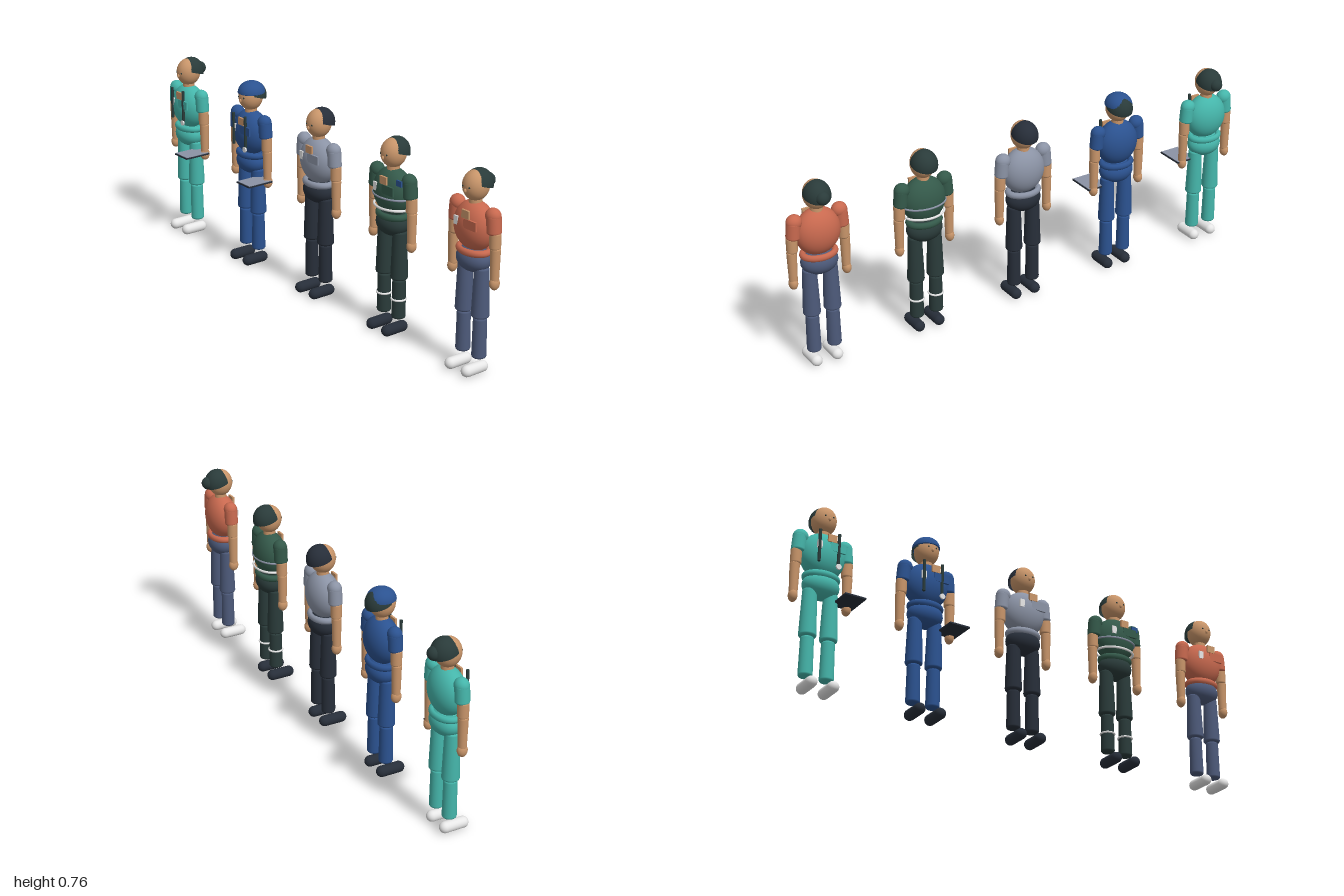
import * as THREE from 'three';

const mat = (name, color) => {
  const m = new THREE.MeshStandardMaterial({ color, side: THREE.DoubleSide });
  m.name = name;
  return m;
};

export function createModel() {
  const teal = mat('teal', 0x45b5aa), blue = mat('blue', 0x2b5290), grey = mat('grey', 0x8b93a5);
  const green = mat('green', 0x34594a), coral = mat('coral', 0xc8694f), navy = mat('dark navy', 0x272e39);
  const denim = mat('denim', 0x4d5a7a), white = mat('white', 0xe6e6e6);
  const skin = mat('skin', 0xc8956a), dark = mat('dark hair', 0x2a3b3a);

  const add = (parent, name, geo, material, x = 0, y = 0, z = 0) => {
    const m = new THREE.Mesh(geo, material);
    m.name = name;
    m.position.set(x, y, z);
    parent.add(m);
    return m;
  };
  const ball = (rx, ry, rz) => new THREE.SphereGeometry(1, 32, 20).scale(rx, ry, rz);
  // elliptical ring lying flat
  const ring = (rx, rz, tube) =>
    new THREE.TorusGeometry(rx, tube, 10, 40).rotateX(Math.PI / 2).scale(1, 1, rz / rx);
  // tapered limb with rounded rims, standing from 0 to h
  const limb = (r0, r1, h, b) => {
    const pts = [new THREE.Vector2(0, 0)];
    for (let i = 0; i <= 5; i++) {
      const a = (i / 5) * Math.PI / 2;
      pts.push(new THREE.Vector2(r0 - b + b * Math.sin(a), b - b * Math.cos(a)));
    }
    for (let i = 0; i <= 5; i++) {
      const a = (i / 5) * Math.PI / 2;
      pts.push(new THREE.Vector2(r1 - b + b * Math.cos(a), h - b + b * Math.sin(a)));
    }
    pts.push(new THREE.Vector2(0, h));
    return new THREE.LatheGeometry(pts, 24);
  };

  // figures share one body; z = 0 of the body is shifted at the end
  function person(name, x, { top, legs, shoes, hair, bun, cap, medical, bands }) {
    const g = new THREE.Group();
    g.name = name;
    g.position.set(x, 0, -0.013);

    // torso, hem, hips and neck
    add(g, 'torso', ball(0.088, 0.092, 0.061), top, 0, 0.55, 0);
    add(g, 'hem', ring(0.061, 0.046, 0.013), top, 0, 0.461, 0);
    add(g, 'hips', ball(0.072, 0.05, 0.054), legs, 0, 0.428, 0);
    add(g, 'neck', new THREE.CylinderGeometry(0.023, 0.025, 0.05, 24), skin, 0, 0.635, 0);

    // head and face
    add(g, 'head', ball(0.047, 0.056, 0.05), skin, 0, 0.697, 0);
    add(g, 'nose', ball(0.005, 0.008, 0.006), skin, 0, 0.686, 0.05);
    for (const s of [-1, 1]) add(g, 'eye', ball(0.0035, 0.0035, 0.003), dark, s * 0.016, 0.699, 0.046);

    // hair, bun and cap
    const dome = new THREE.SphereGeometry(1, 32, 14, 0, Math.PI * 2, 0, Math.PI / 2);
    add(g, 'hair', dome.clone().scale(0.051, 0.059, 0.055), hair, 0, 0.697, -0.011).rotation.x = -0.3;
    if (bun) add(g, 'hairBun', ball(0.026, 0.026, 0.026), hair, 0, 0.704, -0.056);
    if (cap) {
      add(g, 'cap', dome.clone().scale(0.053, 0.046, 0.056), top, 0, 0.713, -0.004);
      add(g, 'capBrim', ring(0.049, 0.051, 0.004), top, 0, 0.715, -0.003);
    }

    for (const s of [-1, 1]) {
      // arm
      add(g, 'shoulder', ball(0.03, 0.029, 0.027), top, s * 0.09, 0.609, 0);
      add(g, 'sleeve', limb(0.027, 0.027, 0.07, 0.009), top, s * 0.098, 0.544, 0).rotation.z = s * 0.08;
      add(g, 'upperArm', limb(0.021, 0.021, 0.065, 0.009), skin, s * 0.104, 0.49, 0);
      add(g, 'forearm', limb(0.016, 0.019, 0.125, 0.007), skin, s * 0.107, 0.372, 0);
      add(g, 'hand', ball(0.017, 0.025, 0.02), skin, s * 0.108, 0.365, 0);
      // leg
      add(g, 'thigh', limb(0.033, 0.027, 0.19, 0.009), legs, s * 0.042, 0.216, 0);
      add(g, 'shin', limb(0.027, 0.025, 0.156, 0.009), legs, s * 0.042, 0.06, 0);
      const shoe = new THREE.CapsuleGeometry(0.0215, 0.073, 10, 24).rotateX(Math.PI / 2);
      add(g, 'shoe', shoe, shoes, s * 0.043, 0.0215, 0.02);
      if (bands) add(g, 'shinBand', ring(0.027, 0.027, 0.004), white, s * 0.042, 0.137, 0);
    }

    // chest badge, patch and pocket
    add(g, 'badge', new THREE.BoxGeometry(0.02, 0.032, 0.006), white, -0.037, 0.57, 0.054);
    add(g, 'patch', new THREE.BoxGeometry(0.036, 0.03, 0.008), skin, 0.012, 0.605, 0.056);
    add(g, 'pocket', new THREE.BoxGeometry(0.062, 0.034, 0.008), top, 0.036, 0.572, 0.056);

    if (bands) {
      add(g, 'waistBand', ring(0.08, 0.06, 0.005), white, 0, 0.495, 0);
      add(g, 'chestBand', ring(0.088, 0.061, 0.004), grey, 0, 0.537, 0);
      add(g, 'armPatch', new THREE.BoxGeometry(0.028, 0.022, 0.006), blue, 0.075, 0.605, 0.036);
    }

    if (medical) {
      // hanging tubes with a round chest piece
      for (const s of [-1, 1])
        add(g, 'listeningTube', new THREE.CylinderGeometry(0.006, 0.006, 0.13, 12), dark, s * 0.039, 0.565, 0.057);
      add(g, 'chestPiece', new THREE.CylinderGeometry(0.011, 0.011, 0.006, 20).rotateX(Math.PI / 2),
        white, 0.039, 0.495, 0.062);
      // tablet held flat at the left hand
      add(g, 'tablet', new THREE.BoxGeometry(0.085, 0.006, 0.115), navy, 0.09, 0.371, 0.052);
      add(g, 'tabletScreen', new THREE.BoxGeometry(0.08, 0.002, 0.11), grey, 0.09, 0.375, 0.052);
    }
    return g;
  }

  const model = new THREE.Group();
  model.name = 'staffLineup';
  model.add(
    person('nurse', -0.874, { top: teal, legs: teal, shoes: white, hair: dark, bun: true, medical: true }),
    person('medic', -0.437, { top: blue, legs: blue, shoes: navy, hair: dark, cap: true, medical: true }),
    person('clerk', 0, { top: grey, legs: navy, shoes: navy, hair: navy }),
    person('rescuer', 0.437, { top: green, legs: dark, shoes: navy, hair: dark, bands: true }),
    person('visitor', 0.874, { top: coral, legs: denim, shoes: white, hair: dark, bun: true }),
  );
  return model;
}
